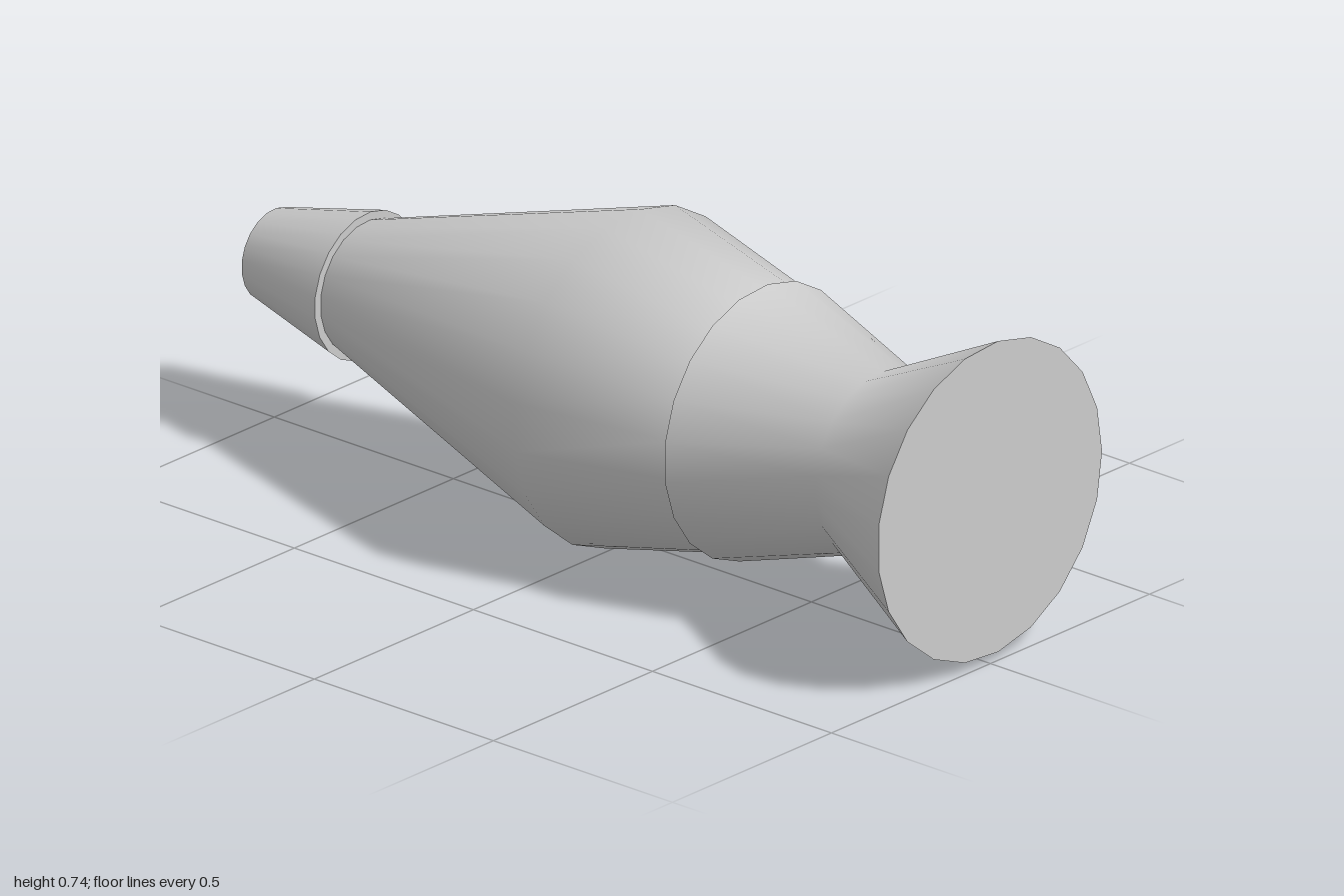
import * as THREE from 'three';
import { mergeGeometries } from 'three/addons/utils/BufferGeometryUtils.js';

const SIDES = 21;
const material = new THREE.MeshStandardMaterial({ color: 0xcccccc });

// Turns [radius, z] runs about the z axis, listed from back to front.
// Each run is smooth; a new run starts a sharp edge.
function turnedPart(name, runs) {
  const geometries = runs.map((run) => {
    const points = run.map(([r, z]) => new THREE.Vector2(r, z));
    return new THREE.LatheGeometry(points, SIDES, Math.PI / 2);
  });
  const mesh = new THREE.Mesh(mergeGeometries(geometries).rotateX(Math.PI / 2), material);
  mesh.name = name;
  return mesh;
}

export function createModel() {
  const group = new THREE.Group();
  group.name = 'lavaLamp';

  const lamp = new THREE.Group();
  lamp.name = 'lampOnItsSide';
  lamp.position.set(-0.002, 0.373, 0);
  group.add(lamp);

  // Tapered cap: closed tip, side wall, lip overhanging the bottle
  lamp.add(turnedPart('cap', [
    [[0, -1], [0.101, -1]],
    [[0.101, -1], [0.164, -0.74]],
    [[0.164, -0.74], [0.146, -0.74]],
  ]));

  // Glass bottle, widest in the middle
  lamp.add(turnedPart('bottle', [
    [[0.146, -0.74], [0.372, 0], [0.287, 0.36]],
  ]));

  // Hourglass base: rim around the bottle, waisted wall, flat foot
  lamp.add(turnedPart('base', [
    [[0.287, 0.36], [0.304, 0.36]],
    [[0.304, 0.36], [0.201, 0.69], [0.353, 1]],
    [[0.353, 1], [0, 1]],
  ]));

  return group;
}
